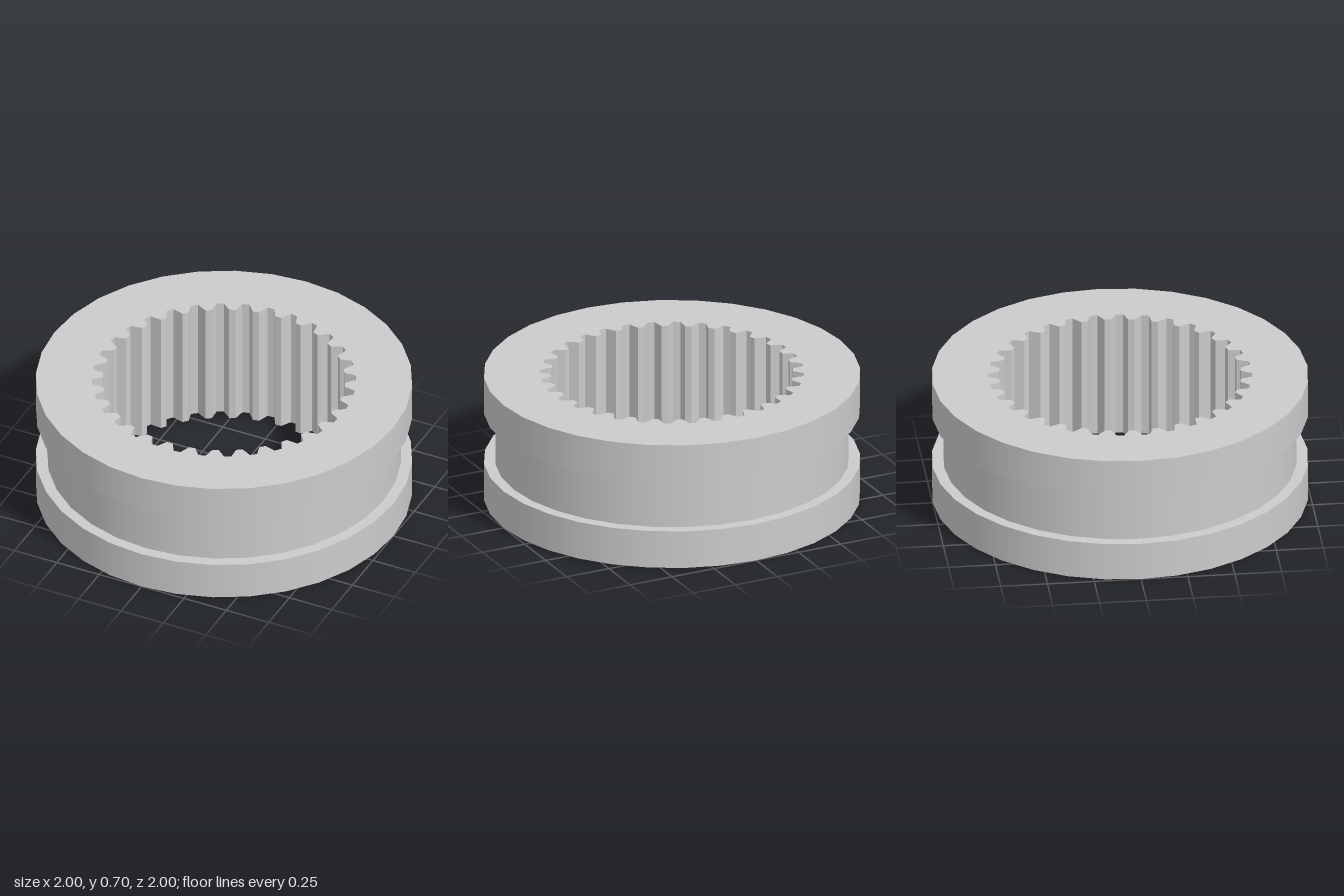
import * as THREE from 'three';

const SIDES = 32, TEETH = 32;
const R_OUT = 1, R_GROOVE = 0.94, R_ROOT = 0.7, R_TIP = 0.643;
const HEIGHT = 0.705, GROOVE_LOW = 0.21, GROOVE_HIGH = 0.497;

export function createModel() {
  const group = new THREE.Group();
  const material = new THREE.MeshStandardMaterial({ color: 0xcccccc });
  const add = (name, geometry) => {
    const mesh = new THREE.Mesh(geometry, material);
    mesh.name = name;
    group.add(mesh);
  };

  // Smooth round outer walls: two flanges with a groove between them
  const wall = (name, r, y0, y1) =>
    add(name, new THREE.CylinderGeometry(r, r, y1 - y0, SIDES, 1, true).translate(0, (y0 + y1) / 2, 0));
  wall('lowerFlange', R_OUT, 0, GROOVE_LOW);
  wall('forkGroove', R_GROOVE, GROOVE_LOW, GROOVE_HIGH);
  wall('upperFlange', R_OUT, GROOVE_HIGH, HEIGHT);

  // Flat shoulders of the groove; turn = -1 faces up, 1 faces down
  const shoulder = (name, y, turn) =>
    add(name, new THREE.RingGeometry(R_GROOVE, R_OUT, SIDES).rotateX(turn * Math.PI / 2).translate(0, y, 0));
  shoulder('lowerShoulder', GROOVE_LOW, -1);
  shoulder('upperShoulder', GROOVE_HIGH, 1);

  // Outline of the internal splines, clockwise from the back
  const splines = [];
  for (let i = 0; i < TEETH; i++) {
    const middle = 6.2 + i * 360 / TEETH;
    for (const [offset, r] of [[-4.1, R_TIP], [-1.6, R_ROOT], [1.6, R_ROOT], [4.1, R_TIP]]) {
      const a = THREE.MathUtils.degToRad(middle + offset);
      splines.push(new THREE.Vector2(Math.sin(a) * r, Math.cos(a) * r));
    }
  }

  // Toothed end faces
  const face = new THREE.Shape();
  for (let i = 0; i < SIDES; i++) {
    const a = i / SIDES * Math.PI * 2;
    if (i) face.lineTo(Math.cos(a) * R_OUT, Math.sin(a) * R_OUT);
    else face.moveTo(R_OUT, 0);
  }
  face.closePath();
  face.holes.push(new THREE.Path(splines));
  add('topFace', new THREE.ShapeGeometry(face).rotateX(-Math.PI / 2).translate(0, HEIGHT, 0));
  // Mirrored in height by reversing the winding, so the teeth line up
  const bottom = new THREE.ShapeGeometry(face).rotateX(-Math.PI / 2);
  bottom.index.array.reverse();
  bottom.computeVertexNormals();
  add('bottomFace', bottom);

  // Splined bore wall, flat facets facing the axis
  const positions = [];
  splines.forEach((p, i) => {
    const q = splines[(i + 1) % splines.length];
    const a = [p.x, 0, -p.y], b = [q.x, 0, -q.y];
    const c = [q.x, HEIGHT, -q.y], d = [p.x, HEIGHT, -p.y];
    positions.push(...a, ...b, ...c, ...a, ...c, ...d);
  });
  const bore = new THREE.BufferGeometry();
  bore.setAttribute('position', new THREE.Float32BufferAttribute(positions, 3));
  bore.computeVertexNormals();
  add('splinedBore', bore);

  return group;
}
